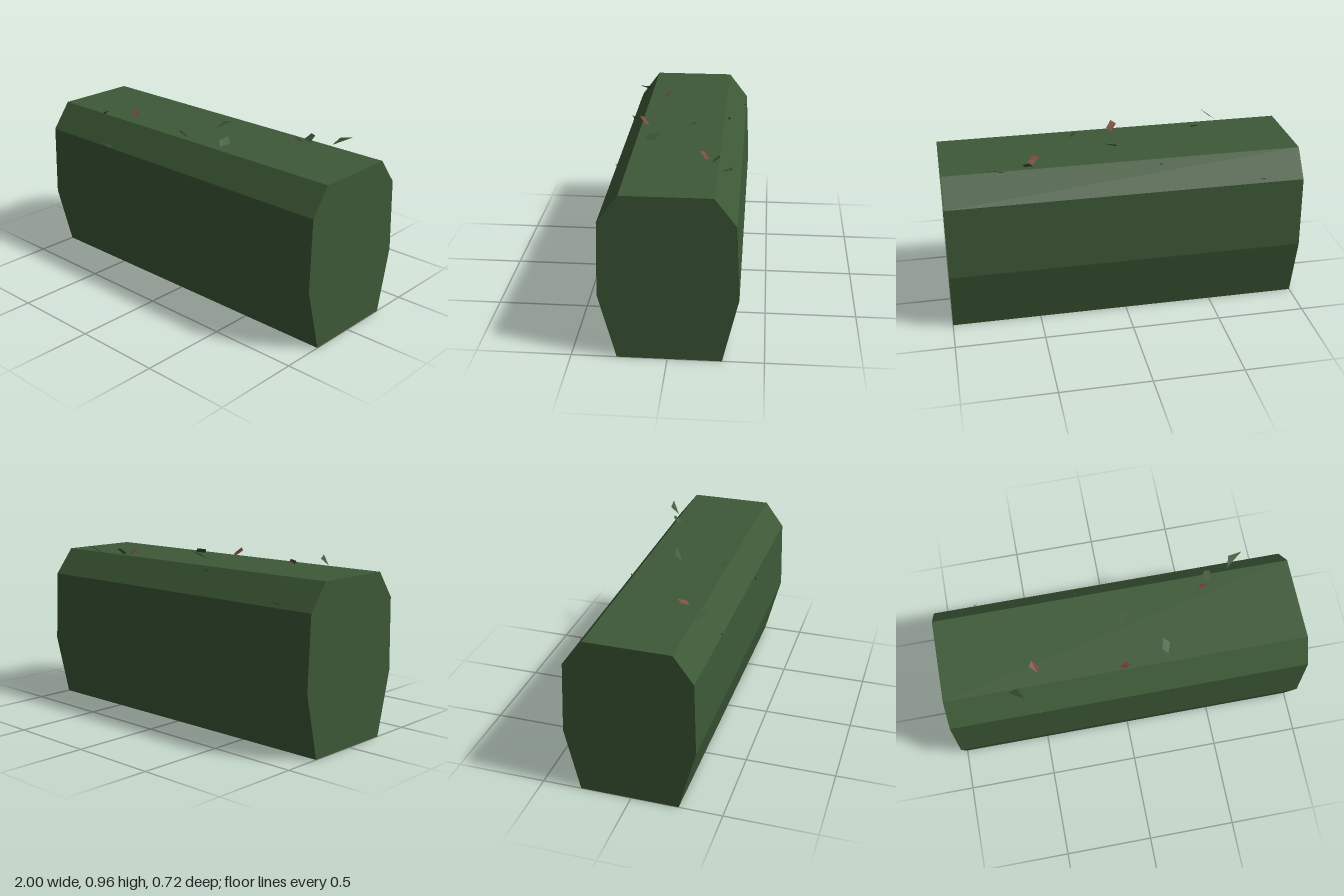
import * as THREE from 'three';

const material = (name, color, extra = {}) => {
  const m = new THREE.MeshStandardMaterial({ color, ...extra });
  m.name = name;
  return m;
};

// Hedge cross-section as [z, y], running from the front foot over to the back foot
const OUTER = [[0.262, 0], [0.355, 0.36], [0.344, 0.765], [0.235, 0.912],
  [-0.232, 0.912], [-0.345, 0.765], [-0.364, 0.36], [-0.282, 0]];
const INNER = [[0.215, 0], [0.308, 0.36], [0.298, 0.75], [0.215, 0.865],
  [-0.212, 0.865], [-0.299, 0.75], [-0.317, 0.36], [-0.235, 0]];

// Extrude a [z, y] outline along x between two stations
function extrudeAlongX(points, x0, x1) {
  const shape = new THREE.Shape(points.map(([z, y]) => new THREE.Vector2(z, y)));
  const geo = new THREE.ExtrudeGeometry(shape, { depth: x1 - x0, bevelEnabled: false });
  return geo.rotateY(-Math.PI / 2).translate(x1, 0, 0);
}

// A single flat leaf, fanned from its first corner
function leafGeometry(corners) {
  const geo = new THREE.BufferGeometry();
  geo.setAttribute('position', new THREE.Float32BufferAttribute(corners.flat(), 3));
  geo.setIndex(corners.length === 4 ? [0, 1, 2, 0, 2, 3] : [0, 1, 2]);
  const flat = geo.toNonIndexed();
  flat.computeVertexNormals();
  return flat;
}

export function createModel() {
  const group = new THREE.Group();
  group.name = 'hedge';
  const foliage = material('foliage green', 0x3d5937);
  const leafGreen = material('leaf green', 0x3d5937, { side: THREE.DoubleSide });
  const leafBrown = material('dry leaf brown', 0x7a4a3a, { side: THREE.DoubleSide });

  const add = (name, geo, mat) => {
    const mesh = new THREE.Mesh(geo, mat);
    mesh.name = name;
    group.add(mesh);
  };

  // Hollow body, open underneath, closed by a thin wall at each end
  const wall = 0.01;
  add('hedgeBody', extrudeAlongX([...OUTER, ...[...INNER].reverse()], -1 + wall, 1 - wall), foliage);
  add('rightEnd', extrudeAlongX(OUTER, -1, -1 + wall), foliage);
  add('leftEnd', extrudeAlongX(OUTER, 1 - wall, 1), foliage);

  // Loose leaves standing on the top
  const leaf = (mat, ...corners) => add(mat === leafBrown ? 'dryLeaf' : 'leaf', leafGeometry(corners), mat);
  leaf(leafGreen, [-0.57, 0.96, 0.312], [-0.65, 0.912, 0.25], [-0.6, 0.945, 0.245]);
  leaf(leafGreen, [0.22, 0.947, 0.105], [0.255, 0.92, 0.13], [0.235, 0.911, 0.19], [0.205, 0.936, 0.165]);
  leaf(leafGreen, [0.005, 0.912, -0.025], [0.02, 0.945, -0.075], [0.09, 0.96, -0.08]);
  leaf(leafGreen, [0.5, 0.92, -0.21], [0.525, 0.95, -0.24], [0.555, 0.945, -0.235], [0.55, 0.911, -0.195]);
  leaf(leafGreen, [0.66, 0.912, -0.25], [0.675, 0.945, -0.305], [0.75, 0.96, -0.31]);
  leaf(leafBrown, [-0.5, 0.948, 0.105], [-0.52, 0.935, 0.13], [-0.48, 0.911, 0.165], [-0.465, 0.93, 0.14]);
  leaf(leafBrown, [-0.04, 0.945, 0.225], [-0.01, 0.96, 0.245], [0.02, 0.925, 0.215], [-0.005, 0.911, 0.19]);
  leaf(leafBrown, [0.46, 0.945, -0.15], [0.49, 0.95, -0.13], [0.525, 0.925, -0.16], [0.5, 0.911, -0.18]);

  // Small leaf tips poking out of the shoulders
  leaf(leafGreen, [-0.515, 0.785, 0.358], [-0.49, 0.78, 0.335], [-0.49, 0.768, 0.342]);
  leaf(leafGreen, [0.22, 0.75, 0.36], [0.25, 0.765, 0.344], [0.24, 0.748, 0.344]);
  leaf(leafGreen, [-0.79, 0.772, -0.325], [-0.74, 0.797, -0.352], [-0.78, 0.785, -0.335]);
  leaf(leafGreen, [-0.21, 0.9, -0.25], [-0.19, 0.897, -0.265], [-0.2, 0.877, -0.256]);

  return group;
}
